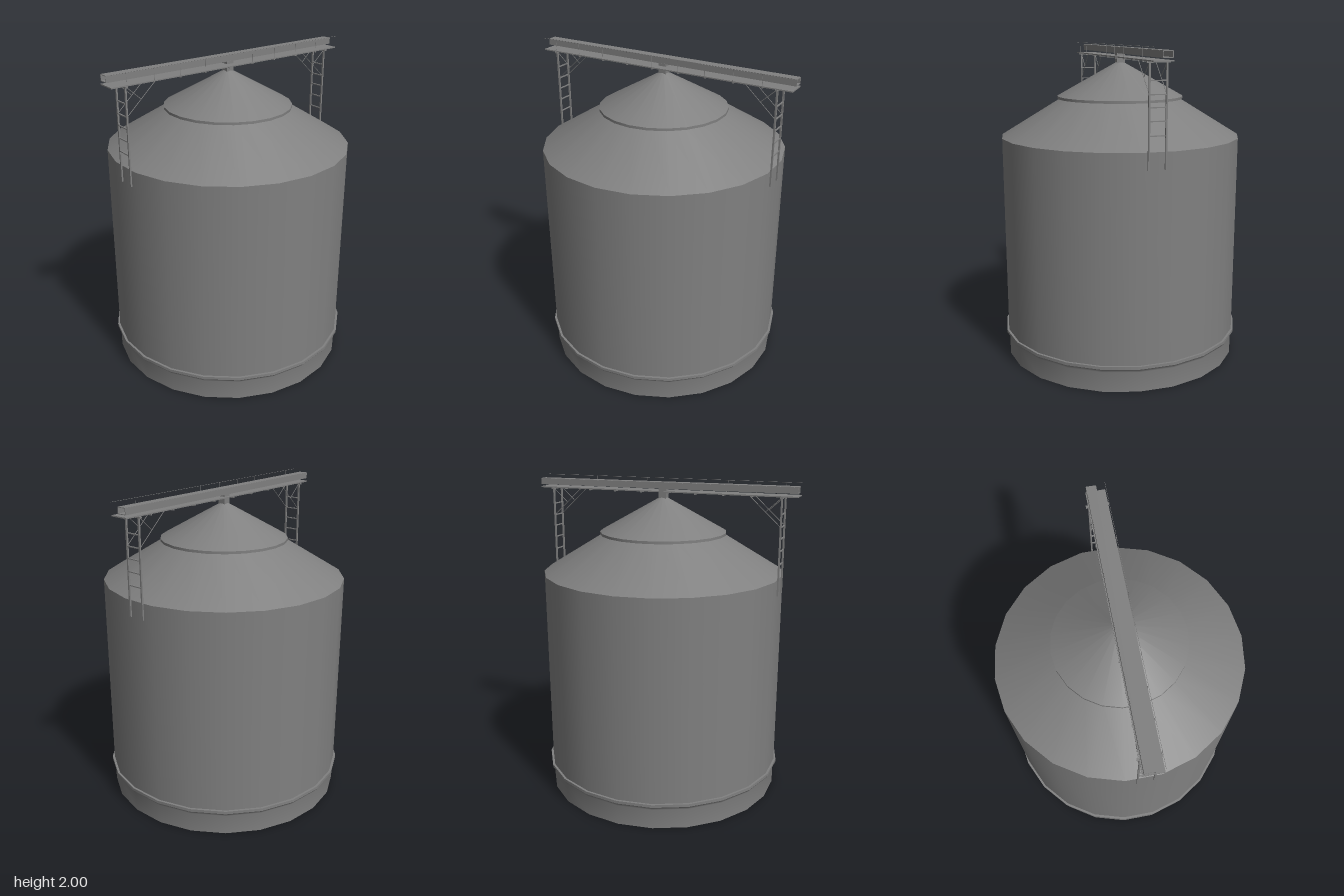
import * as THREE from 'three';

const SIDES = 22;

export function createModel() {
  const steel = new THREE.MeshStandardMaterial({ color: 0x808080, side: THREE.DoubleSide });
  steel.name = 'galvanised grey';
  const model = new THREE.Group();
  model.name = 'grainSilo';

  const add = (parent, name, geometry) => {
    const mesh = new THREE.Mesh(geometry, steel);
    mesh.name = name;
    parent.add(mesh);
    return mesh;
  };
  const group = (name) => {
    const g = new THREE.Group();
    g.name = name;
    model.add(g);
    return g;
  };
  // Round shell with a corner on the x axis; profile is [radius, height] pairs
  const shell = (parent, name, profile) => add(parent, name, new THREE.LatheGeometry(
    profile.map(([r, y]) => new THREE.Vector2(r, y)), SIDES, Math.PI / SIDES, Math.PI * 2));
  // Box given by its low and high corners
  const box = (parent, name, [x0, y0, z0], [x1, y1, z1]) => {
    const g = new THREE.BoxGeometry(x1 - x0, y1 - y0, z1 - z0);
    g.translate((x0 + x1) / 2, (y0 + y1) / 2, (z0 + z1) / 2);
    return add(parent, name, g);
  };
  // Thin round bar between two points
  const bar = (parent, name, a, b, radius) => {
    const p = new THREE.Vector3(...a), q = new THREE.Vector3(...b);
    const mesh = add(parent, name, new THREE.CylinderGeometry(radius, radius, p.distanceTo(q), 6));
    mesh.position.copy(p).lerp(q, 0.5);
    mesh.quaternion.setFromUnitVectors(new THREE.Vector3(0, 1, 0), q.sub(p).normalize());
    return mesh;
  };

  // Tank, open underneath
  const tank = group('tank');
  shell(tank, 'skirt', [[0.755, 0], [0.755, 0.125], [0.774, 0.15]]);
  shell(tank, 'flangeRim', [[0.774, 0.15], [0.774, 0.168]]);
  shell(tank, 'flangeTop', [[0.774, 0.168], [0.758, 0.168]]);
  shell(tank, 'wall', [[0.76, 0.165], [0.76, 1.43]]);

  // Two-stage conical roof
  const roof = group('roof');
  shell(roof, 'lowerRoof', [[0.76, 1.43], [0.38, 1.662]]);
  shell(roof, 'capUnderside', [[0.375, 1.662], [0.4, 1.662]]);
  shell(roof, 'capRim', [[0.4, 1.662], [0.4, 1.678]]);
  shell(roof, 'upperRoof', [[0.4, 1.678], [0.02, 1.89]]);
  box(roof, 'inletSpout', [-0.025, 1.88, -0.025], [0.025, 1.946, 0.025]);

  // Hollow conveyor trough, tilted slightly
  const conveyor = group('conveyor');
  const L = 0.85, W = 0.028, H = 0.018, T = 0.004;
  for (const s of [-1, 1]) {
    box(conveyor, 'troughSide', [s * W - T / 2, -H, -L], [s * W + T / 2, H, L]);
    box(conveyor, 'troughPlate', [-W, s * H - T / 2, -L], [W, s * H + T / 2, L]);
  }
  conveyor.position.set(-0.007, 1.963, 0);
  conveyor.rotation.x = -0.002;

  // Walkway with cross ribs and handrail
  const walkway = group('walkway');
  box(walkway, 'walkwayDeck', [-0.042, 1.922, -L], [0.075, 1.929, L]);
  bar(walkway, 'handrail', [0.074, 1.999, -L], [0.074, 1.999, L], 0.001);
  for (let i = 0; i < 9; i++) {
    const z = -0.67 + i * 0.178;
    box(walkway, 'crossRib', [-0.046, 1.916, z - 0.004], [0.075, 1.923, z + 0.004]);
    bar(walkway, 'handrailPost', [0.074, 1.925, z], [0.074, 1.999, z], 0.001);
  }

  // Ladder-like end supports with diagonal bracing
  for (const s of [-1, 1]) {
    const support = group(s > 0 ? 'frontSupport' : 'backSupport');
    const z = s * 0.757;
    for (const x of [-0.037, 0.063]) {
      box(support, 'leg', [x - 0.005, 1.33, z - 0.005], [x + 0.005, 1.922, z + 0.005]);
      bar(support, 'diagonalBrace', [x, 1.745, z], [x, 1.92, s * 0.565], 0.002);
      bar(support, 'braceStrut', [x, 1.92, z], [x, 1.832, s * 0.66], 0.002);
    }
    for (const y of [1.52, 1.6, 1.675, 1.745, 1.82]) {
      box(support, 'rung', [-0.037, y - 0.003, z - 0.004], [0.063, y + 0.003, z + 0.004]);
    }
    box(support, 'headBeam', [-0.055, 1.914, z - 0.008], [0.08, 1.923, z + 0.008]);
  }

  return model;
}
